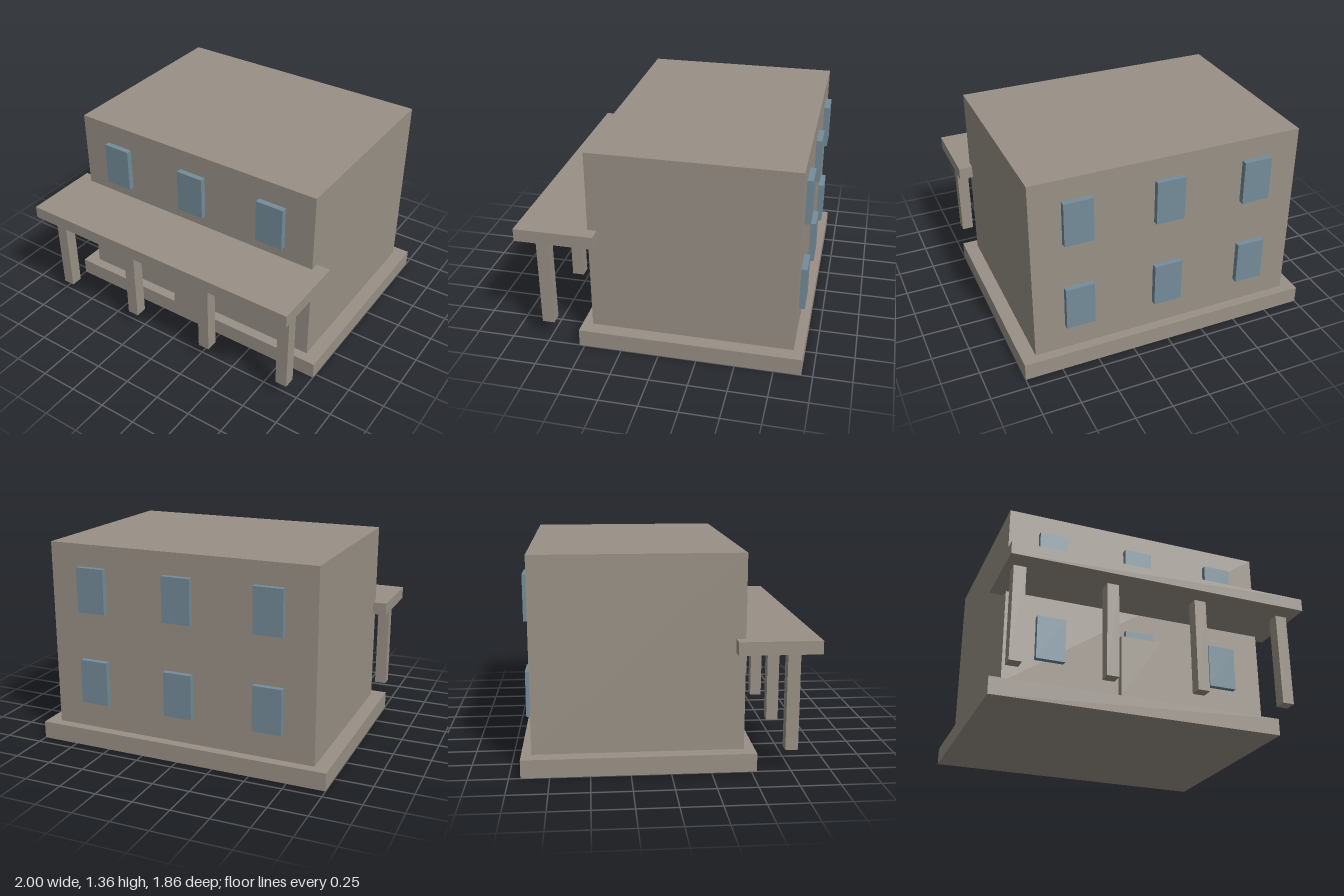
import * as THREE from 'three';

export function createModel() {
  const house = new THREE.Group();
  house.name = 'house';

  const stone = new THREE.MeshStandardMaterial({ color: 0x999186 });
  stone.name = 'stone';
  const glass = new THREE.MeshStandardMaterial({ color: 0x748c99 });
  glass.name = 'glass';

  // Box given by its extents on each axis
  function block(name, material, [x0, x1], [y0, y1], [z0, z1]) {
    const mesh = new THREE.Mesh(new THREE.BoxGeometry(x1 - x0, y1 - y0, z1 - z0), material);
    mesh.position.set((x0 + x1) / 2, (y0 + y1) / 2, (z0 + z1) / 2);
    mesh.name = name;
    house.add(mesh);
  }

  const baseTop = 0.117, front = 0.467, back = -0.864;

  block('foundation', stone, [-1, 1], [0, baseTop], [-0.928, 0.535]);
  block('walls', stone, [-0.907, 0.907], [baseTop, 1.36], [back, front]);
  block('porchRoof', stone, [-1, 1], [0.745, 0.83], [0.406, 0.928]);
  block('door', stone, [-0.142, 0.142], [baseTop, 0.534], [0.487, 0.535]);

  // Porch posts
  for (const x of [-0.91, -0.304, 0.304, 0.91]) {
    block('porchPost', stone, [x - 0.04, x + 0.04], [baseTop, 0.745], [0.722, 0.803]);
  }

  // Two rows of three windows, front and back
  for (const x of [-0.606, 0, 0.606]) {
    for (const y of [0.445, 1.066]) {
      const across = [x - 0.096, x + 0.096], up = [y - 0.148, y + 0.148];
      block('frontWindow', glass, across, up, [front, 0.505]);
      block('backWindow', glass, across, up, [-0.902, back]);
    }
  }

  return house;
}
